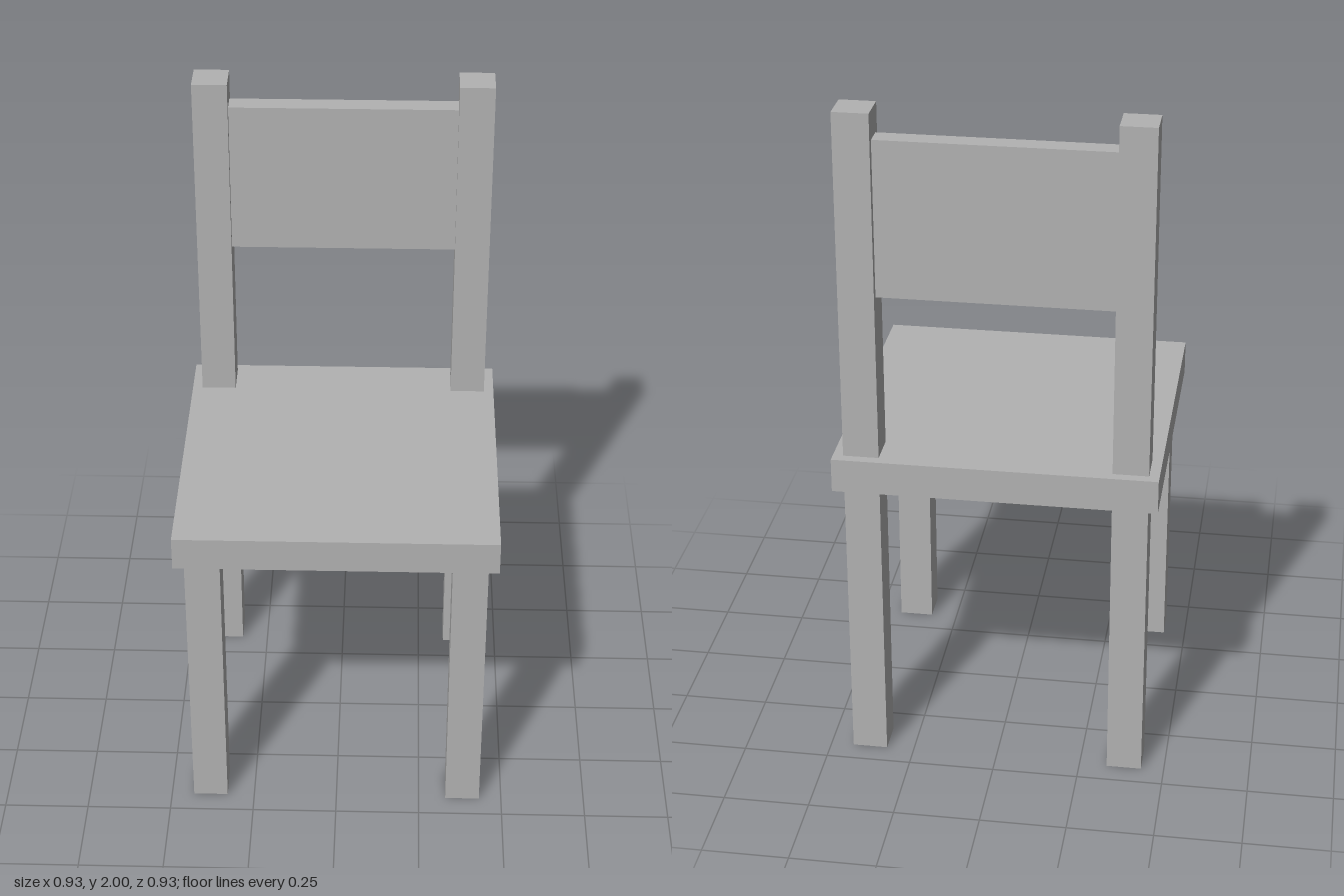
import * as THREE from 'three';

export function createModel() {
  const chair = new THREE.Group();
  chair.name = 'chair';

  const grey = new THREE.MeshStandardMaterial({ color: 0xb2b2b2 });
  grey.name = 'grey';

  // Adds a box from its size, centre x and z, and bottom y
  function addBox(name, width, height, depth, x, bottom, z) {
    const mesh = new THREE.Mesh(new THREE.BoxGeometry(width, height, depth), grey);
    mesh.name = name;
    mesh.position.set(x, bottom + height / 2, z);
    chair.add(mesh);
  }

  const legWidth = 0.102;
  const legOffset = 0.382;
  const seatBottom = 0.88;
  const seatThickness = 0.1;
  const seatTop = seatBottom + seatThickness;

  // Square seat slab
  addBox('seat', 0.925, seatThickness, 0.925, 0, seatBottom, 0);

  // Legs below the seat, and posts above it at the back
  for (const [side, sign] of [['Left', 1], ['Right', -1]]) {
    const x = sign * legOffset;
    addBox('front' + side + 'Leg', legWidth, seatBottom, legWidth, x, 0, legOffset);
    addBox('back' + side + 'Leg', legWidth, seatBottom, legWidth, x, 0, -legOffset);
    addBox('back' + side + 'Post', legWidth, 2 - seatTop, legWidth, x, seatTop, -legOffset);
  }

  // Panel between the posts
  addBox('backrest', 2 * legOffset - legWidth, 0.455, 0.06, 0, 1.465, -legOffset);

  return chair;
}
